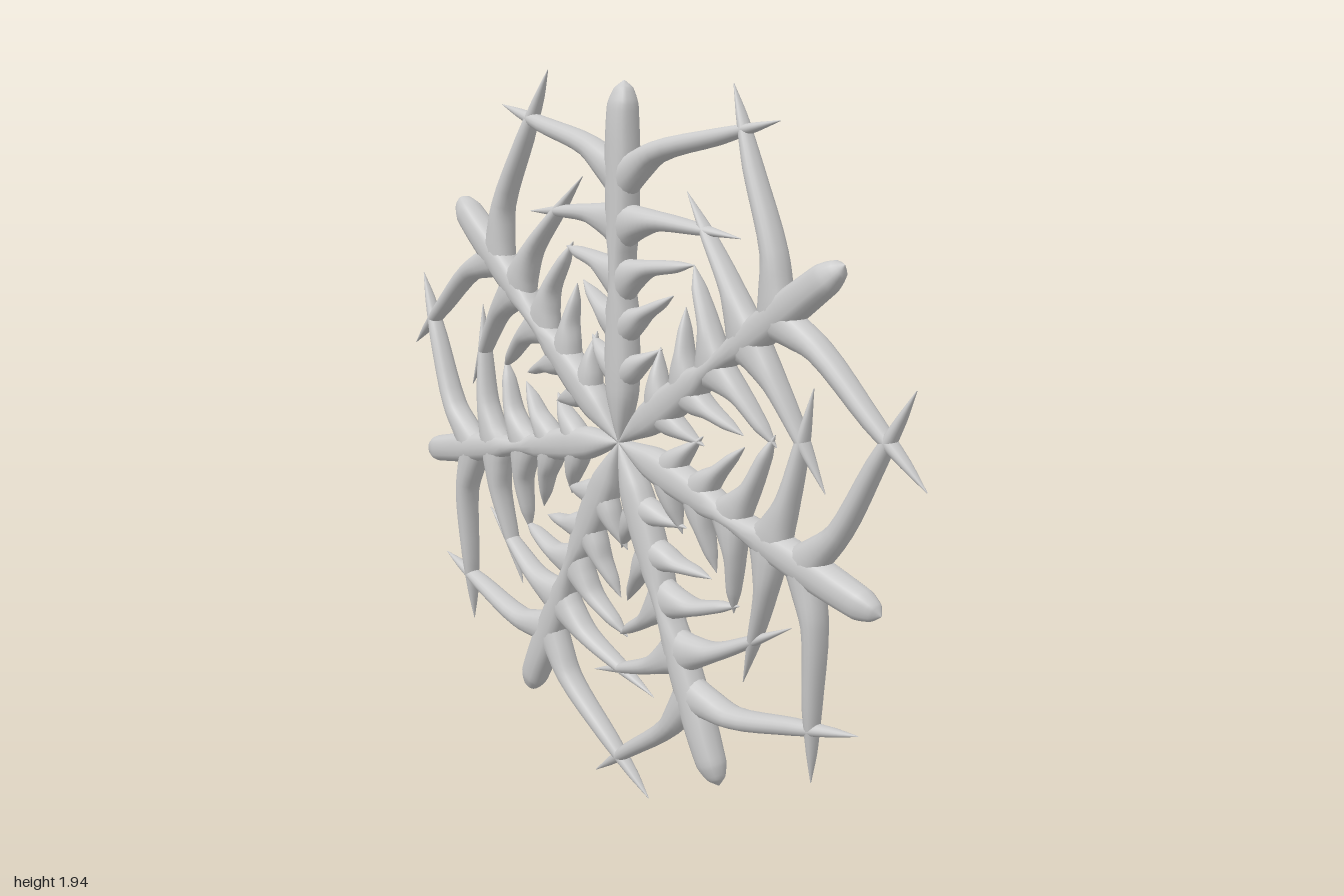
import * as THREE from 'three';

const SIDES = 16;

// Tapered limb: stations are [x, y, z, halfWidth, halfDepth]; power < 1 squares off the section.
function limb(stations, mirror, power, steps) {
  const path = new THREE.CatmullRomCurve3(stations.map(s => new THREE.Vector3(s[0] * mirror, s[1], s[2])));
  const size = new THREE.CatmullRomCurve3(stations.map(s => new THREE.Vector3(s[3], s[4], 0)));
  const bend = v => Math.sign(v) * Math.pow(Math.abs(v), power);
  const pos = [], index = [];
  for (let i = 0; i <= steps; i++) {
    const t = i / steps;
    const p = path.getPoint(t), s = size.getPoint(t), d = path.getTangent(t);
    const len = Math.hypot(d.x, d.y) || 1;
    const w = Math.max(s.x, 0.001), h = Math.max(s.y, 0.001);
    for (let j = 0; j < SIDES; j++) {
      const a = (j / SIDES) * Math.PI * 2;
      const c = bend(Math.cos(a)) * w;
      pos.push(p.x - (d.y / len) * c, p.y + (d.x / len) * c, p.z + bend(Math.sin(a)) * h);
      if (i < steps) {
        const k = i * SIDES + j, n = i * SIDES + (j + 1) % SIDES;
        index.push(k, n, k + SIDES, n, n + SIDES, k + SIDES);
      }
    }
  }
  const g = new THREE.BufferGeometry();
  g.setAttribute('position', new THREE.Float32BufferAttribute(pos, 3));
  g.setIndex(index);
  g.computeVertexNormals();
  return g;
}

// Spine of one arm, from the pointed hub end to the rounded outer tip
const SPINE = [
  [0, 0, 0, 0.004, 0.015], [0, 0.06, 0, 0.022, 0.03], [0, 0.13, 0, 0.042, 0.039],
  [0, 0.2, 0, 0.047, 0.041], [0, 0.35, 0, 0.04, 0.041], [0, 0.55, 0, 0.04, 0.041],
  [0, 0.72, 0, 0.044, 0.041], [0, 0.8, 0, 0.041, 0.04], [0, 0.865, -0.001, 0.038, 0.036],
  [0, 0.905, -0.004, 0.023, 0.022], [0, 0.924, -0.006, 0.001, 0.001],
];

// Side branches, outermost first: each starts inside the spine and ends in a point
const BRANCHES = [
  [[0, 0.68, 0, 0.055, 0.039], [0.05, 0.71, 0, 0.042, 0.039], [0.13, 0.755, -0.001, 0.028, 0.037],
    [0.33, 0.8, -0.009, 0.021, 0.028], [0.45, 0.828, -0.017, 0.011, 0.016], [0.528, 0.846, -0.02, 0.001, 0.001]],
  [[0, 0.565, 0, 0.065, 0.039], [0.05, 0.575, 0, 0.045, 0.039], [0.13, 0.585, -0.002, 0.025, 0.035],
    [0.27, 0.578, -0.012, 0.015, 0.024], [0.408, 0.567, -0.02, 0.001, 0.001]],
  [[0, 0.425, 0, 0.06, 0.038], [0.045, 0.445, 0, 0.04, 0.037], [0.1, 0.465, -0.003, 0.022, 0.033],
    [0.19, 0.478, -0.011, 0.015, 0.022], [0.25, 0.488, -0.018, 0.001, 0.001]],
  [[0, 0.3, 0, 0.05, 0.038], [0.045, 0.325, 0, 0.036, 0.036], [0.085, 0.35, -0.003, 0.02, 0.031],
    [0.135, 0.378, -0.01, 0.013, 0.02], [0.178, 0.405, -0.016, 0.001, 0.001]],
  [[0, 0.18, 0, 0.045, 0.037], [0.045, 0.205, 0, 0.034, 0.034], [0.085, 0.23, -0.004, 0.019, 0.027],
    [0.14, 0.265, -0.014, 0.001, 0.001]],
];

export function createModel() {
  const root = new THREE.Group();
  root.name = 'snowflake';
  const material = new THREE.MeshStandardMaterial({ color: 0xcccccc });

  const parts = [['spine', limb(SPINE, 1, 0.8, 40)]];
  BRANCHES.forEach((b, i) => {
    parts.push([`leftBranch${i + 1}`, limb(b, 1, 0.9, 20)]);
    parts.push([`rightBranch${i + 1}`, limb(b, -1, 0.9, 20)]);
  });

  // Seven arms, turned in steps of 51 degrees
  for (let k = 0; k < 7; k++) {
    const arm = new THREE.Group();
    arm.name = `arm${k + 1}`;
    for (const [name, geometry] of parts) {
      const mesh = new THREE.Mesh(geometry, material);
      mesh.name = name;
      arm.add(mesh);
    }
    arm.rotation.z = THREE.MathUtils.degToRad(51 * k);
    arm.position.y = 0.995;
    root.add(arm);
  }
  return root;
}
